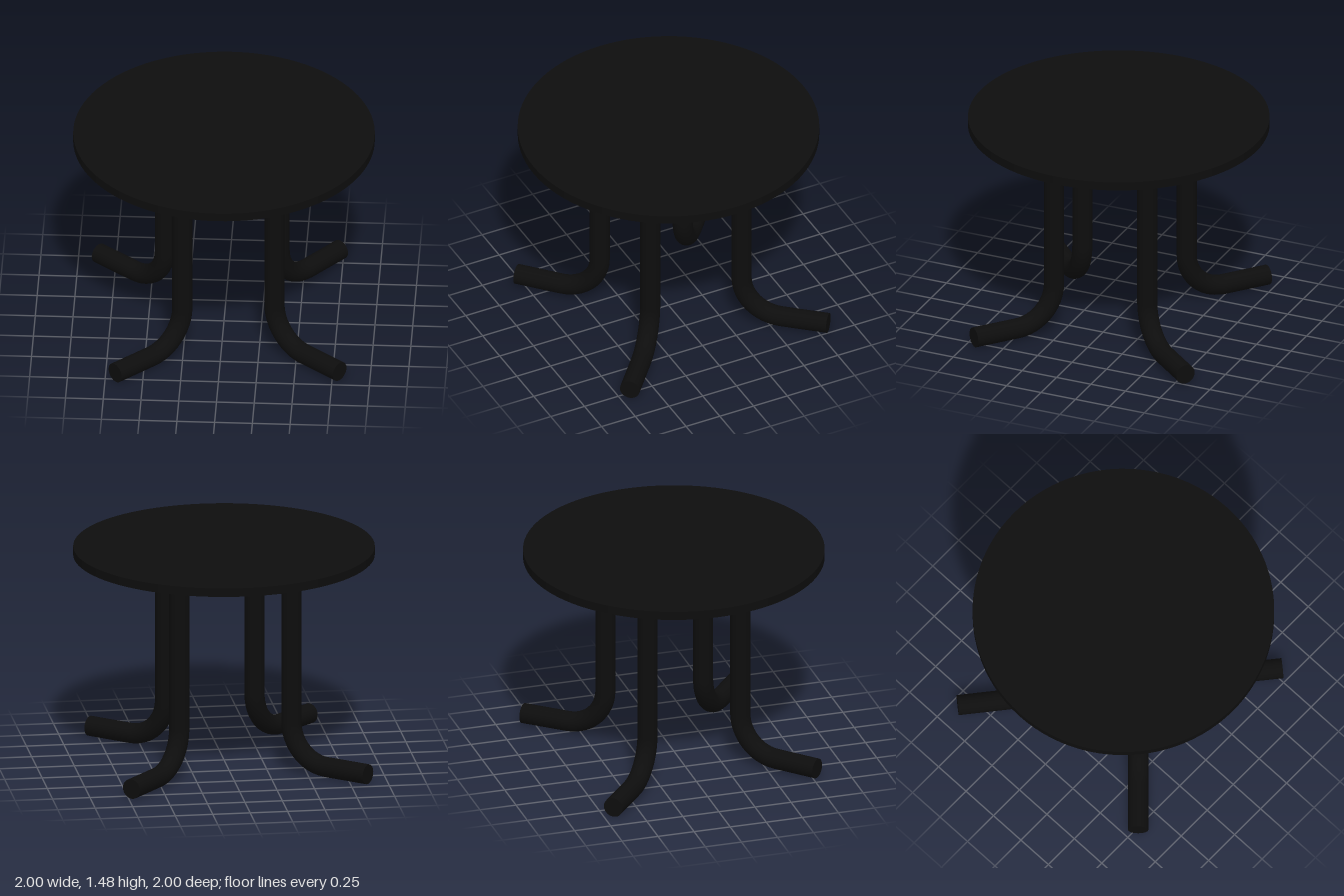
import * as THREE from 'three';

const TUBE = 0.067;      // tube radius of the legs
const BEND = 0.27;       // radius of the bend at the foot
const TOP_BOTTOM = 1.418; // underside of the tabletop
const TOP_UPPER = 1.476;

// Each leg: where the shaft stands and where its foot ends, as [x, z]
const LEGS = [
  { name: 'frontLeftLeg', at: [0.35, 0.312], end: [0.8, 0.69] },
  { name: 'frontRightLeg', at: [-0.257, 0.38], end: [-0.682, 0.78] },
  { name: 'backLeftLeg', at: [0.35, -0.365], end: [0.732, -0.815] },
  { name: 'backRightLeg', at: [-0.407, -0.31], end: [-0.865, -0.69] },
];

export function createModel() {
  const model = new THREE.Group();
  model.name = 'roundTable';
  const black = new THREE.MeshStandardMaterial({ color: 0x0d0d0d });
  black.name = 'black';

  const add = (parent, name, geometry, x, y, z) => {
    const mesh = new THREE.Mesh(geometry, black);
    mesh.name = name;
    mesh.position.set(x, y, z);
    parent.add(mesh);
    return mesh;
  };

  // Thin round tabletop
  const thickness = TOP_UPPER - TOP_BOTTOM;
  add(model, 'tabletop', new THREE.CylinderGeometry(0.998, 0.998, thickness, 96),
    0, TOP_BOTTOM + thickness / 2, 0);

  // Bent tube legs, built pointing along +x and turned outward
  for (const { name, at, end } of LEGS) {
    const dx = end[0] - at[0], dz = end[1] - at[1];
    const leg = new THREE.Group();
    leg.name = name;
    leg.position.set(at[0], 0, at[1]);
    leg.rotation.y = Math.atan2(-dz, dx);
    model.add(leg);

    // Upright shaft, open where it meets the tabletop and the bend
    const shaftBase = TUBE + BEND;
    const shaftLength = TOP_BOTTOM - shaftBase;
    add(leg, 'shaft', new THREE.CylinderGeometry(TUBE, TUBE, shaftLength, 24, 1, true),
      0, shaftBase + shaftLength / 2, 0);

    // Quarter bend
    const bend = add(leg, 'bend', new THREE.TorusGeometry(BEND, TUBE, 24, 12, Math.PI / 2),
      BEND, shaftBase, 0);
    bend.rotation.z = Math.PI;

    // Foot lying on the floor, with a flat end
    const footLength = Math.hypot(dx, dz) - BEND;
    const foot = add(leg, 'foot', new THREE.CylinderGeometry(TUBE, TUBE, footLength, 24),
      BEND + footLength / 2, TUBE, 0);
    foot.rotation.z = -Math.PI / 2;
  }
  return model;
}
